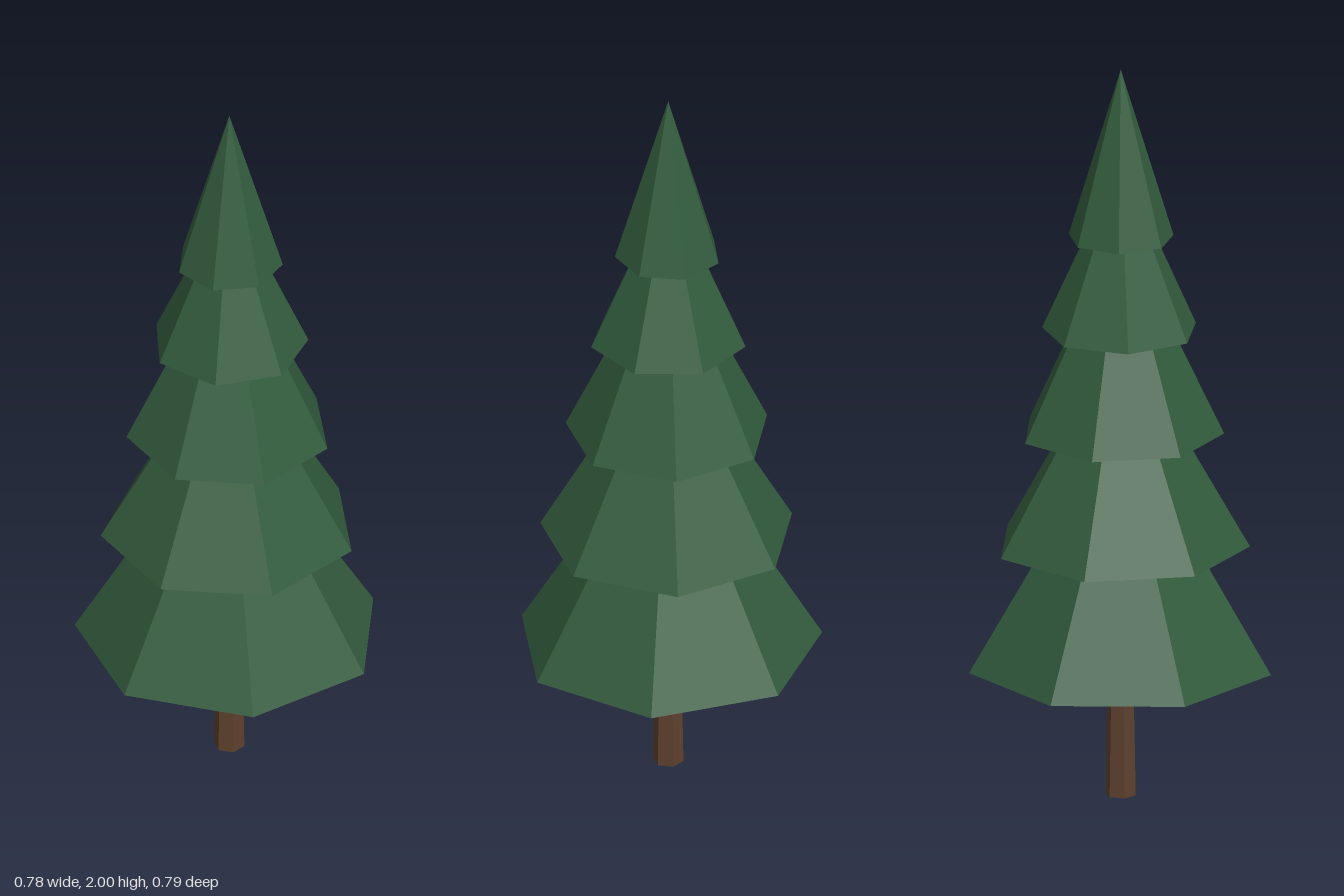
import * as THREE from 'three';

export function createModel() {
  const tree = new THREE.Group();
  tree.name = 'pineTree';

  const needles = new THREE.MeshStandardMaterial({ color: 0x335c3e, flatShading: true });
  needles.name = 'needle green';
  const bark = new THREE.MeshStandardMaterial({ color: 0x5e412e, flatShading: true });
  bark.name = 'bark brown';

  // The trunk axis sits slightly off centre because the lowest tier is lopsided.
  const axisX = 0.016;

  // A tapered prism standing between two heights, with its first corner at the given turn.
  function addTaper(name, material, sides, y0, y1, r0, r1, turn) {
    const geometry = new THREE.CylinderGeometry(r1, r0, y1 - y0, sides, 1, false, turn);
    const mesh = new THREE.Mesh(geometry, material);
    mesh.name = name;
    mesh.position.set(axisX, (y0 + y1) / 2, 0);
    tree.add(mesh);
  }

  // Six-sided trunk, ending just inside the lowest tier
  addTaper('trunk', bark, 6, 0, 0.4, 0.041, 0.033, Math.PI / 6);

  // Seven-sided branch tiers, each tucked into the one above:
  // base height, top height, base radius, top radius, turn
  const tiers = [
    [0.36, 0.76, 0.407, 0.168, 0.249],
    [0.69, 1.06, 0.34, 0.128, 0.433],
    [1.0, 1.34, 0.272, 0.11, 0.438],
    [1.28, 1.59, 0.208, 0.07, -0.082],
    [1.535, 2.0, 0.141, 0, 0.682],
  ];
  tiers.forEach(([y0, y1, r0, r1, turn], i) => {
    addTaper(`branchTier${i + 1}`, needles, 7, y0, y1, r0, r1, turn);
  });

  return tree;
}
